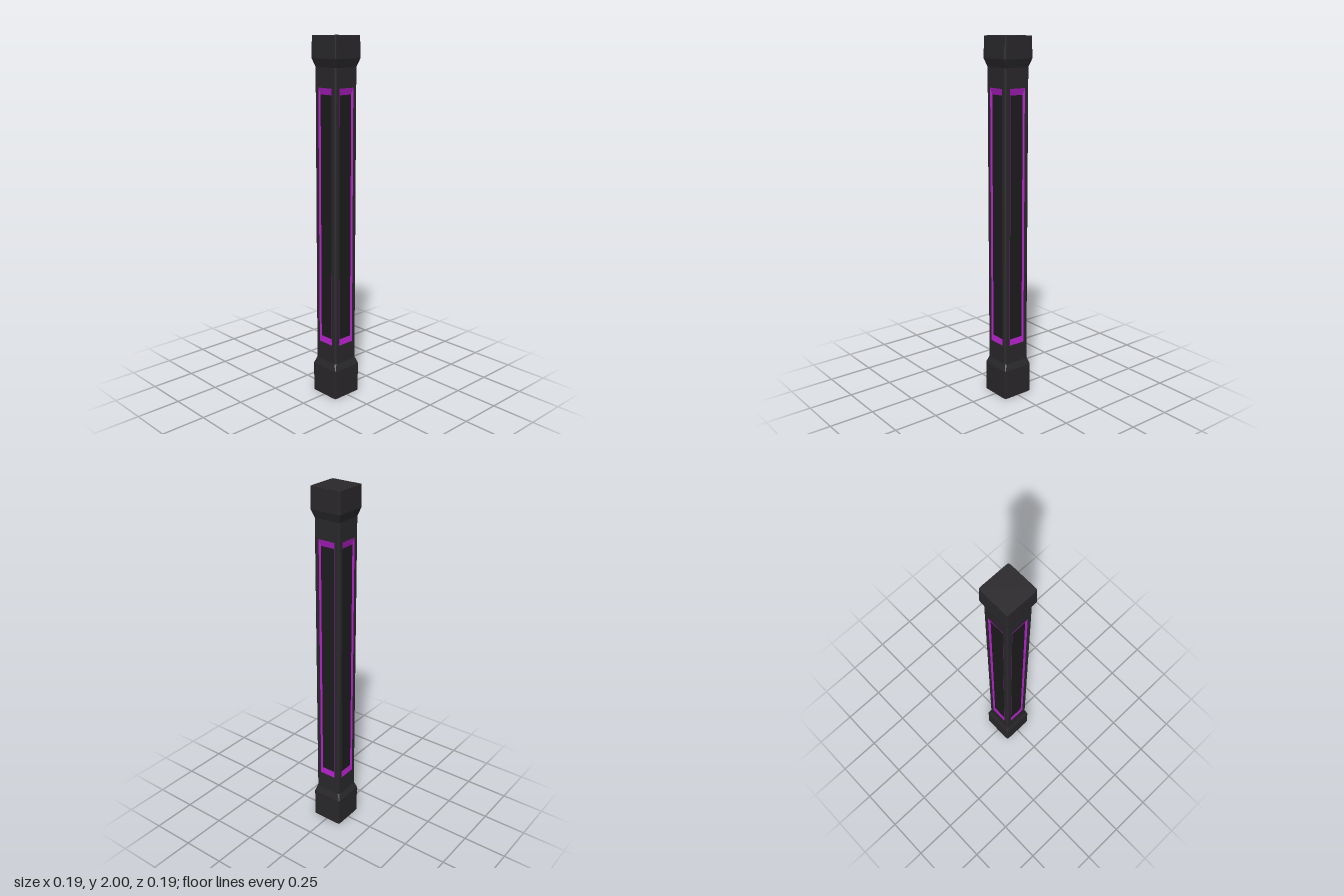
import * as THREE from 'three';

const bodyMat = new THREE.MeshStandardMaterial({ color: 0x2a282b, flatShading: true });
const panelMat = new THREE.MeshStandardMaterial({ color: 0x1d1c1e, flatShading: true });
const trimMat = new THREE.MeshStandardMaterial({ color: 0xb01fc6, flatShading: true });

const SHAFT = 0.079;          // half width of the shaft
const EDGE = 0.071;           // where the corner chamfer starts
const LOW = 0.205, HIGH = 1.84; // ends of the shaft
const DEPTH = 0.007;          // how far the panels are sunk

function mesh(name, geometry, material) {
  const m = new THREE.Mesh(geometry, material);
  m.name = name;
  return m;
}

function fromTriangles(points) {
  const g = new THREE.BufferGeometry().setFromPoints(points);
  g.computeVertexNormals();
  return g;
}

// Square cross-section with faintly bowed sides and chamfered corners
function section(y, half, edge, bow) {
  const side = [[half - bow, -edge], [half, -edge * 0.82], [half, edge * 0.82], [half - bow, edge]];
  const ring = [];
  for (let q = 0; q < 4; q++) {
    for (const [a, b] of side) {
      const [x, z] = [[a, b], [-b, a], [-a, -b], [b, -a]][q];
      ring.push(new THREE.Vector3(x, y, z));
    }
  }
  return ring;
}

// Skin between sections listed from bottom to top, closed at both ends
function loft(rings) {
  const pts = [];
  const n = rings[0].length;
  const first = rings[0], last = rings[rings.length - 1];
  const bottom = new THREE.Vector3(0, first[0].y, 0);
  const top = new THREE.Vector3(0, last[0].y, 0);
  for (let i = 0; i < n; i++) {
    const j = (i + 1) % n;
    for (let r = 0; r < rings.length - 1; r++) {
      const a = rings[r], b = rings[r + 1];
      pts.push(a[i], b[i], a[j], a[j], b[i], b[j]);
    }
    pts.push(bottom, first[i], first[j], top, last[j], last[i]);
  }
  return fromTriangles(pts);
}

function rectangle(halfW, y0, y1) {
  return [[-halfW, y0], [halfW, y0], [halfW, y1], [-halfW, y1]].map(([x, y]) => new THREE.Vector2(x, y));
}

// One side of the shaft: wall with an opening, sloped trim and sunken panel
function shaftSide() {
  const side = new THREE.Group();
  side.name = 'shaftSide';
  const outer = rectangle(0.05, 0.312, 1.735);
  const inner = rectangle(0.041, 0.346, 1.7);

  const wall = new THREE.Shape(rectangle(EDGE, LOW, HIGH));
  wall.holes.push(new THREE.Path(outer));
  side.add(mesh('shaftWall', new THREE.ShapeGeometry(wall).translate(0, 0, SHAFT), bodyMat));

  const pts = [];
  const o = outer.map(p => new THREE.Vector3(p.x, p.y, SHAFT));
  const n = inner.map(p => new THREE.Vector3(p.x, p.y, SHAFT - DEPTH));
  for (let i = 0; i < 4; i++) {
    const j = (i + 1) % 4;
    pts.push(o[i], o[j], n[j], o[i], n[j], n[i]);
  }
  side.add(mesh('glowTrim', fromTriangles(pts), trimMat));

  const panel = new THREE.ShapeGeometry(new THREE.Shape(inner)).translate(0, 0, SHAFT - DEPTH);
  side.add(mesh('sunkenPanel', panel, panelMat));

  // Chamfered strip on the corner to the side's right
  const corner = new THREE.PlaneGeometry((SHAFT - EDGE) * Math.SQRT2, HIGH - LOW);
  corner.rotateY(Math.PI / 4);
  corner.translate((SHAFT + EDGE) / 2, (HIGH + LOW) / 2, (SHAFT + EDGE) / 2);
  side.add(mesh('cornerChamfer', corner, bodyMat));
  return side;
}

export function createModel() {
  const model = new THREE.Group();
  model.name = 'pillar';

  const shaft = new THREE.Group();
  shaft.name = 'shaft';
  for (let i = 0; i < 4; i++) {
    const side = shaftSide();
    side.rotation.y = i * Math.PI / 2;
    shaft.add(side);
  }
  model.add(shaft);

  // Wider blocks at the foot and head, tapering into the shaft
  model.add(mesh('base', loft([
    section(0, 0.0915, 0.088, 0.0015),
    section(0.167, 0.0915, 0.088, 0.0015),
    section(LOW, SHAFT, EDGE, 0),
  ]), bodyMat));
  model.add(mesh('capital', loft([
    section(HIGH, SHAFT, EDGE, 0),
    section(1.885, 0.0925, 0.089, 0.0015),
    section(2, 0.0905, 0.087, 0.0015),
  ]), bodyMat));

  return model;
}
